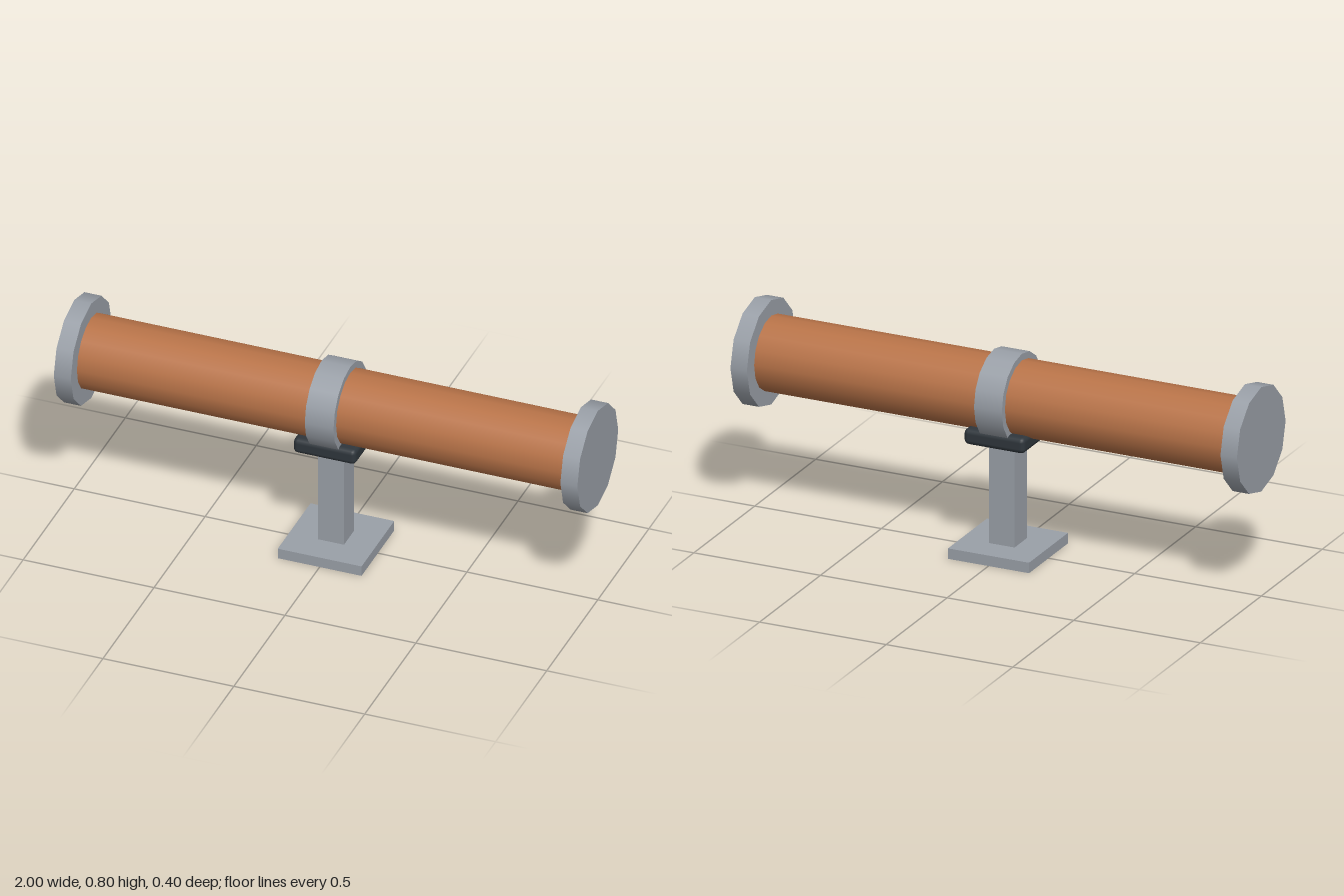
import * as THREE from 'three';
import { RoundedBoxGeometry } from 'three/addons/geometries/RoundedBoxGeometry.js';

export function createModel() {
  const model = new THREE.Group();
  model.name = 'pipeOnStand';

  const material = (name, color) => {
    const m = new THREE.MeshStandardMaterial({ color });
    m.name = name;
    return m;
  };
  const steel = material('steelGrey', 0x9aa0a8);
  const copper = material('copper', 0xb87348);
  const rubber = material('darkRubber', 0x2f363c);

  const add = (name, geometry, mat, x, y) => {
    const mesh = new THREE.Mesh(geometry, mat);
    mesh.name = name;
    mesh.position.set(x, y, 0);
    model.add(mesh);
    return mesh;
  };

  // Cylinder lying along x, with a vertex at the top
  const axisY = 0.6;
  const along = (radius, length, sides) =>
    new THREE.CylinderGeometry(radius, radius, length, sides).rotateZ(Math.PI / 2);

  // Stand
  add('basePlate', new THREE.BoxGeometry(0.32, 0.04, 0.32), steel, 0, 0.02);
  add('post', new THREE.BoxGeometry(0.1, 0.4, 0.1), steel, 0, 0.24);
  add('saddlePad', new RoundedBoxGeometry(0.24, 0.06, 0.24, 2, 0.018), rubber, 0, 0.46);

  // Pipe with its clamp; the ends stop inside the flanges
  add('pipe', along(0.14, 1.96, 16), copper, 0, axisY);
  add('clampRing', along(0.165, 0.11, 16), steel, 0, axisY);

  // End flanges
  for (const side of [-1, 1]) {
    add(side < 0 ? 'rightFlange' : 'leftFlange', along(0.2, 0.065, 12), steel, side * 0.9675, axisY);
  }

  return model;
}
